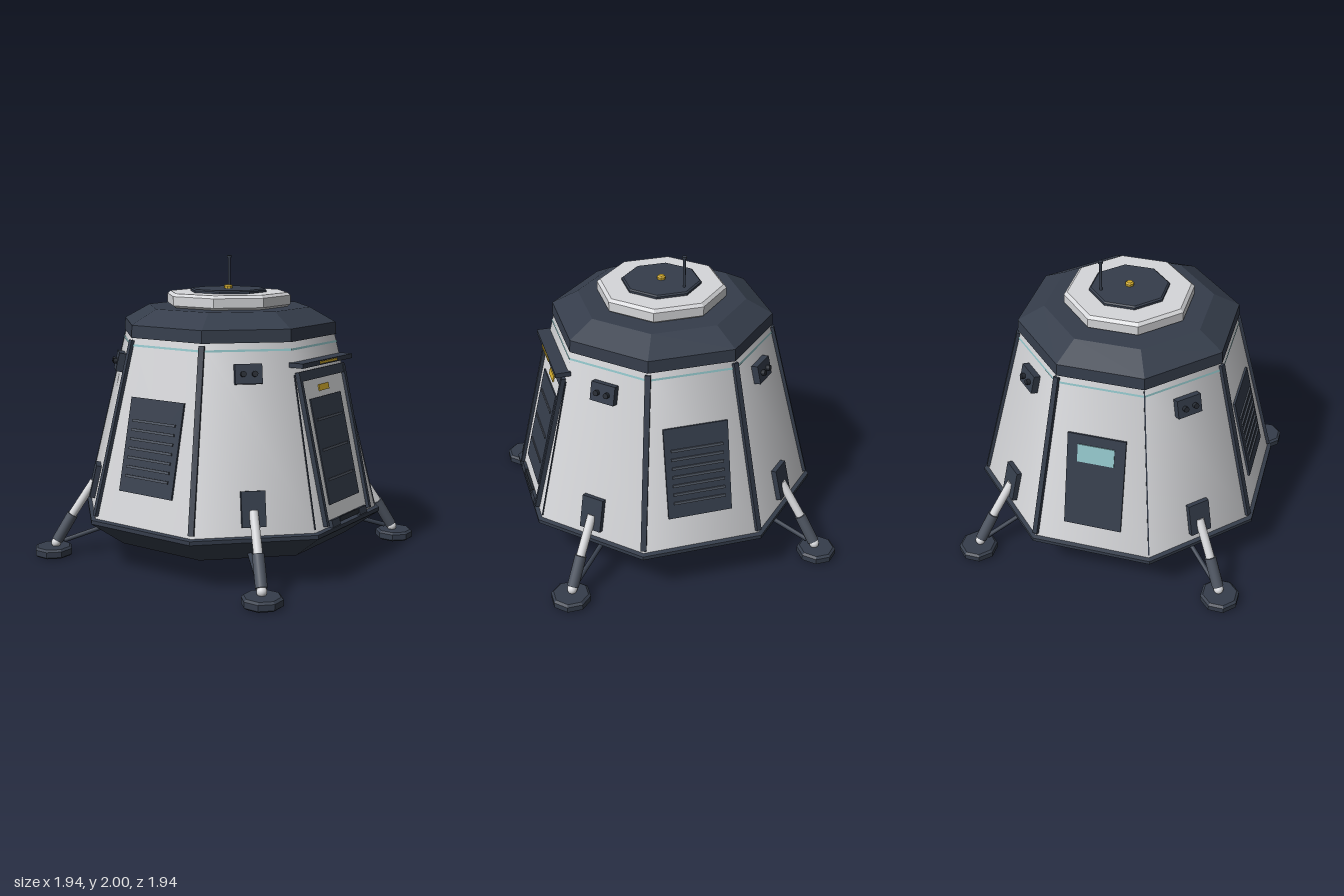
import * as THREE from 'three';

const mat = (name, color) => Object.assign(new THREE.MeshStandardMaterial({ color }), { name });

export function createModel() {
  const model = new THREE.Group();
  model.name = 'landerModule';
  const white = mat('hullWhite', 0xd6d7da);
  const navy = mat('navyTrim', 0x353d4b);
  const dark = mat('charcoal', 0x252a32);
  const grey = mat('steelGrey', 0x4d5460);
  const yellow = mat('signalYellow', 0xd6af2e);
  const teal = mat('tealGlass', 0x8fc1c5);

  const E = Math.PI / 8, C = Math.cos(E);
  const Y0 = 0.34, Y1 = 1.5, A0 = 0.935, A1 = 0.665;
  const slope = (A0 - A1) / (Y1 - Y0);
  const tilt = Math.atan(slope);
  const apothem = y => A0 - slope * (y - Y0);

  function add(name, geo, material, parent = model) {
    const m = new THREE.Mesh(geo, material);
    m.name = name;
    parent.add(m);
    return m;
  }
  // octagonal solid from [apothem, y] points, listed bottom to top
  function octagon(name, profile, material, parent = model, smooth = false) {
    const pts = profile.map(([a, y]) => new THREE.Vector2(a / C, y));
    let geo = new THREE.LatheGeometry(pts, 8, E);
    if (!smooth) {
      geo = geo.toNonIndexed();
      geo.computeVertexNormals();
    }
    return add(name, geo, material, parent);
  }
  // round bar between two points
  function bar(name, a, b, r, material, parent, sides = 16) {
    const d = b.clone().sub(a);
    const m = add(name, new THREE.CylinderGeometry(r, r, d.length(), sides), material, parent);
    m.position.copy(a).add(b).multiplyScalar(0.5);
    m.quaternion.setFromUnitVectors(new THREE.Vector3(0, 1, 0), d.normalize());
    return m;
  }
  // group turned so that its +z points out of one hull face
  function side(name, angle) {
    const g = new THREE.Group();
    g.name = name;
    g.rotation.y = angle;
    model.add(g);
    return g;
  }
  // box lying on the sloping face: x centre, y range, width, inner and outer offset
  function plate(g, name, x, ya, yb, w, inn, out, material) {
    const y = (ya + yb) / 2, off = (inn + out) / 2;
    const m = add(name, new THREE.BoxGeometry(w, (yb - ya) / Math.cos(tilt), out - inn), material, g);
    m.position.set(x, y + off * Math.sin(tilt), apothem(y) + off * Math.cos(tilt));
    m.rotation.x = -tilt;
    return m;
  }

  // hull, belly and roof
  octagon('hull', [[A0, Y0], [A1, Y1]], white, model, true);
  octagon('belly', [[0.75, 0.15], [0.955, 0.31], [0.96, 0.315], [0.96, 0.34], [0.92, 0.35]], navy);
  octagon('bellyFloor', [[0, 0.149], [0.75, 0.15]], dark);
  octagon('roof', [[0.62, 1.495], [0.675, 1.5], [0.67, 1.58], [0.51, 1.675], [0, 1.675]], navy);
  octagon('roofCollar', [[0.37, 1.675], [0.39, 1.69], [0.39, 1.75], [0.37, 1.768], [0, 1.768]], white);
  octagon('topHatch', [[0.24, 1.765], [0.24, 1.782], [0.23, 1.79], [0, 1.79]], navy);
  octagon('tealBand', [[apothem(1.447) + 0.004, 1.447], [apothem(1.46) + 0.004, 1.46]], teal);
  octagon('beacon', [[0.026, 1.785], [0.026, 1.805], [0.018, 1.814], [0, 1.814]], yellow);

  // antenna
  const v = (x, y, z) => new THREE.Vector3(x, y, z);
  bar('antennaMast', v(0.16, 1.77, -0.105), v(0.16, 1.99, -0.105), 0.009, navy, model, 8);
  bar('antennaTip', v(0.16, 1.985, -0.105), v(0.16, 2, -0.105), 0.016, navy, model, 8);

  // corner ribs; those of the front and one at the back sit almost flush
  for (let i = 0; i < 8; i++) {
    const flush = i === 0 || i === 7 || i === 4;
    const g = side('cornerRib', E + i * Math.PI / 4);
    const w = flush ? 0.008 : 0.036, d = flush ? 0.008 : 0.03;
    const yTop = i === 0 || i === 7 ? 1.3 : 1.485;
    const y = (0.365 + yTop) / 2, t = Math.atan(slope / C);
    const rib = add('rib', new THREE.BoxGeometry(w, (yTop - 0.365) / Math.cos(t), d), navy, g);
    rib.position.set(0, y, apothem(y) / C);
    rib.rotation.x = -t;
  }

  // front door
  const front = side('frontDoor', 0);
  plate(front, 'doorLeaf', 0, 0.36, 1.3, 0.54, -0.01, 0.008, white);
  for (const s of [-1, 1]) {
    plate(front, 'doorPost', s * 0.272, 0.36, 1.3, 0.026, -0.01, 0.03, navy);
    plate(front, 'stepBracket', s * 0.175, 0.34, 0.385, 0.095, 0, 0.03, navy);
  }
  plate(front, 'doorLintel', 0, 1.25, 1.31, 0.57, -0.01, 0.026, navy);
  plate(front, 'doorPanel', 0, 0.475, 1.135, 0.38, 0, 0.016, navy);
  for (const y of [0.625, 0.81, 1.0]) plate(front, 'doorGroove', 0, y - 0.008, y + 0.008, 0.31, 0.01, 0.022, grey);
  plate(front, 'doorLabel', 0, 1.17, 1.21, 0.12, 0.008, 0.016, yellow);
  plate(front, 'doorSill', 0, 0.355, 0.385, 0.24, 0, 0.028, dark);
  const awning = add('awning', new THREE.BoxGeometry(0.62, 0.03, 0.1), navy, front);
  awning.position.set(0, 1.36, 0.73);
  const strip = add('awningLight', new THREE.BoxGeometry(0.21, 0.016, 0.008), yellow, front);
  strip.position.set(0, 1.361, 0.782);

  // side vents
  for (const s of [-1, 1]) {
    const g = side('sideVent', s * Math.PI / 2);
    plate(g, 'ventPanel', 0, 0.55, 1.135, 0.42, 0, 0.014, navy);
    for (let i = 0; i < 7; i++) {
      const y = 0.65 + i * 0.057;
      plate(g, 'ventSlat', 0, y - 0.008, y + 0.008, 0.34, 0.01, 0.024, grey);
    }
  }

  // back panel with window
  const back = side('backPanel', Math.PI);
  plate(back, 'panel', 0, 0.5, 1.135, 0.38, 0, 0.014, navy);
  plate(back, 'window', 0, 0.95, 1.07, 0.24, 0.012, 0.02, teal);

  // thruster boxes and landing legs on the diagonal faces
  for (let i = 0; i < 4; i++) {
    const a = Math.PI / 4 + i * Math.PI / 2;
    const thruster = side('thruster', a);
    plate(thruster, 'thrusterBox', 0, 1.25, 1.37, 0.17, -0.01, 0.045, navy);
    for (const s of [-1, 1]) {
      const y = 1.31, z = apothem(y);
      bar('nozzle', v(s * 0.036, y + 0.005, z + 0.03), v(s * 0.036, y + 0.014, z + 0.068), 0.018, dark, thruster, 12);
    }

    const leg = side('landingLeg', a);
    plate(leg, 'legMount', 0, 0.4, 0.615, 0.15, -0.01, 0.035, navy);
    const top = v(0, 0.5, 0.92), knee = v(0, 0.275, 1.07), ankle = v(0, 0.1, 1.175);
    bar('strut', top, knee, 0.029, white, leg);
    bar('sleeve', knee, ankle, 0.038, grey, leg);
    const joint = add('ankleBall', new THREE.SphereGeometry(0.033, 16, 12), white, leg);
    joint.position.set(0, 0.083, 1.185);
    bar('brace', v(0, 0.195, 0.81), v(0, 0.095, 1.13), 0.016, navy, leg, 10);
    const pad = octagon('footPad', [[0, 0], [0.105, 0], [0.12, 0.012], [0.12, 0.05], [0.105, 0.063], [0, 0.063]], navy, leg);
    pad.position.z = 1.202;
    pad.rotation.y = -a;
  }
  return model;
}
